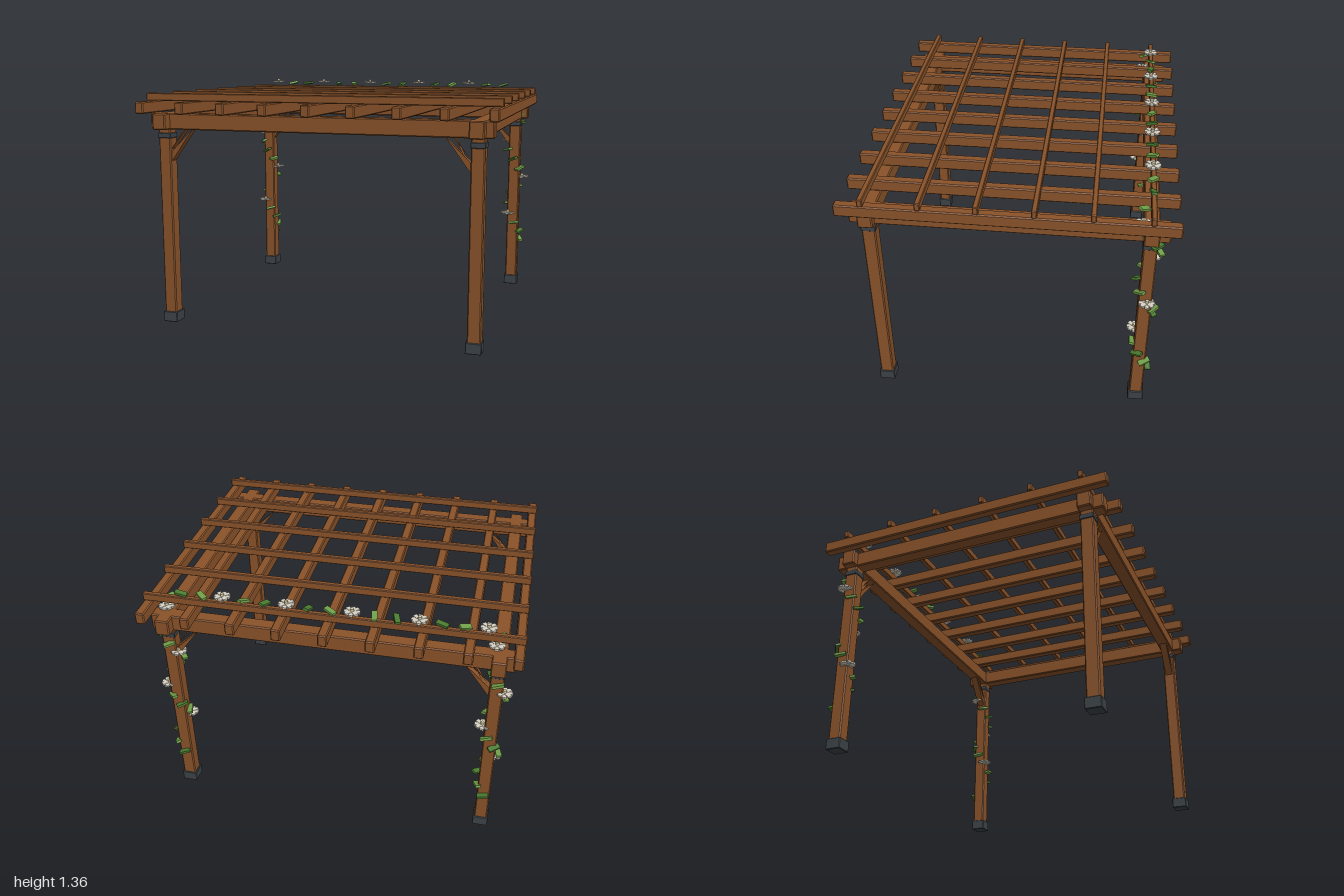
import * as THREE from 'three';
import { ConvexGeometry } from 'three/addons/geometries/ConvexGeometry.js';

const material = (name, color) => {
  const m = new THREE.MeshStandardMaterial({ color });
  m.name = name;
  return m;
};

// Box with flat chamfers on every edge
function chamferBox(w, h, d, c = 0.006) {
  const pts = [];
  for (const x of [-1, 1]) for (const y of [-1, 1]) for (const z of [-1, 1]) {
    const p = [x * w / 2, y * h / 2, z * d / 2];
    const q = [x * (w / 2 - c), y * (h / 2 - c), z * (d / 2 - c)];
    pts.push(new THREE.Vector3(p[0], q[1], q[2]),
      new THREE.Vector3(q[0], p[1], q[2]),
      new THREE.Vector3(q[0], q[1], p[2]));
  }
  return new ConvexGeometry(pts);
}

export function createModel() {
  const root = new THREE.Group();
  root.name = 'pergola';
  const wood = material('wood', 0x8a532a);
  const iron = material('dark iron', 0x3c4348);
  const greens = [material('leaf green', 0x4a7a30), material('light leaf green', 0x6f9e48)];
  const petalMat = material('petal', 0xd8d2c4);
  const centreMat = material('flower centre', 0xd6cda6);

  const add = (parent, name, geo, mat, x, y, z) => {
    const m = new THREE.Mesh(geo, mat);
    m.name = name;
    m.position.set(x, y, z);
    parent.add(m);
    return m;
  };

  const postX = 0.88, postZ = 0.715;

  // Corner posts with iron shoes and collars
  const postGeo = chamferBox(0.072, 1.1, 0.072);
  const shoeGeo = chamferBox(0.086, 0.06, 0.086, 0.003);
  const collarGeo = chamferBox(0.078, 0.03, 0.078, 0.003);

  // Diagonal brace, cut flush against post and beam
  const braceShape = new THREE.Shape([
    [-0.03, 0.985], [-0.03, 0.93], [-0.17, 1.12], [-0.12, 1.12],
  ].map(([x, y]) => new THREE.Vector2(x, y)));
  braceShape.setFromPoints([[-0.035, 0.945], [-0.035, 1.005], [-0.127, 1.118], [-0.178, 1.118]]
    .map(([x, y]) => new THREE.Vector2(x, y)));
  const braceGeo = new THREE.ExtrudeGeometry(braceShape, { depth: 0.045, bevelEnabled: false });
  braceGeo.translate(0, 0, -0.0225);

  for (const sx of [-1, 1]) for (const sz of [-1, 1]) {
    const x = sx * postX, z = sz * postZ;
    add(root, 'post', postGeo, wood, x, 0.59, z);
    add(root, 'postShoe', shoeGeo, iron, x, 0.03, z);
    add(root, 'postCollar', collarGeo, iron, x, 1.08, z);
    add(root, 'brace', braceGeo, wood, x, 0, z).rotation.y = sx > 0 ? 0 : Math.PI;
  }

  // Crossing main beams
  const longBeam = chamferBox(1.92, 0.09, 0.078);
  const sideBeam = chamferBox(0.078, 0.09, 1.62);
  for (const s of [-1, 1]) {
    add(root, 'longBeam', longBeam, wood, 0, 1.16, s * postZ);
    add(root, 'sideBeam', sideBeam, wood, s * postX, 1.16, 0);
  }

  // Rafters and the slats across them
  const rafterGeo = chamferBox(0.05, 0.066, 1.71);
  for (let i = -4; i <= 4; i++) add(root, 'rafter', rafterGeo, wood, i * 0.243, 1.238, 0);
  const slatGeo = chamferBox(2, 0.043, 0.028, 0.004);
  for (let i = 0; i < 6; i++) add(root, 'slat', slatGeo, wood, 0, 1.293, -0.715 + i * 0.286);

  // Climbing plant: leaves and flat-facing blossoms
  let seed = 11;
  const rand = () => (seed = (seed * 16807) % 2147483647) / 2147483647;
  const leafGeo = new THREE.BoxGeometry(0.064, 0.014, 0.03);
  const petalGeo = new THREE.BoxGeometry(0.032, 0.01, 0.022);
  const centreGeo = new THREE.CylinderGeometry(0.01, 0.01, 0.028, 8);

  const addLeaf = (parent, i, x, y, z, turn) => {
    const leaf = add(parent, 'leaf', leafGeo, greens[i % 2], x, y, z);
    leaf.rotation.set((rand() - 0.5) * 0.6, turn, 0.12 + rand() * 0.25, 'YXZ');
  };
  const addFlower = (parent, x, y, z) => {
    const flower = new THREE.Group();
    flower.name = 'flower';
    flower.position.set(x, y, z);
    for (let k = 0; k < 8; k++) {
      const a = k * Math.PI / 4;
      add(flower, 'petal', petalGeo, petalMat, Math.cos(a) * 0.026, (k % 2) * 0.002, -Math.sin(a) * 0.026)
        .rotation.y = a;
    }
    add(flower, 'flowerCentre', centreGeo, centreMat, 0, 0.006, 0);
    parent.add(flower);
  };

  // Row along the back slat
  const topVine = new THREE.Group();
  topVine.name = 'topVine';
  const turns = [0, 0.5, -0.3, 0, -1.2, -1.4, 0, -0.5, 1.3, 0, 1.1, 1.0, 0, -0.7, 0.1];
  for (let i = 0; i < 15; i++) {
    const x = -0.81 + i * 0.1143;
    if (i % 3 === 0) addFlower(topVine, x, 1.34, -0.71);
    else addLeaf(topVine, i, x, 1.33, -0.71, turns[i]);
  }
  root.add(topVine);

  // Spirals up the two back posts
  for (const sx of [-1, 1]) {
    const vine = new THREE.Group();
    vine.name = 'postVine';
    for (let k = 0; k < 18; k++) {
      const y = 0.243 + k * 0.0606;
      const a = (y - 0.34) / 0.4 * Math.PI * 2;
      const x = sx * postX + Math.cos(a) * 0.05, z = -postZ + Math.sin(a) * 0.05;
      if (k > 0 && k % 4 === 0) addFlower(vine, x, y, z);
      else addLeaf(vine, k, x, y, z, Math.PI / 2 - a + (rand() - 0.5));
    }
    root.add(vine);
  }
  return root;
}
